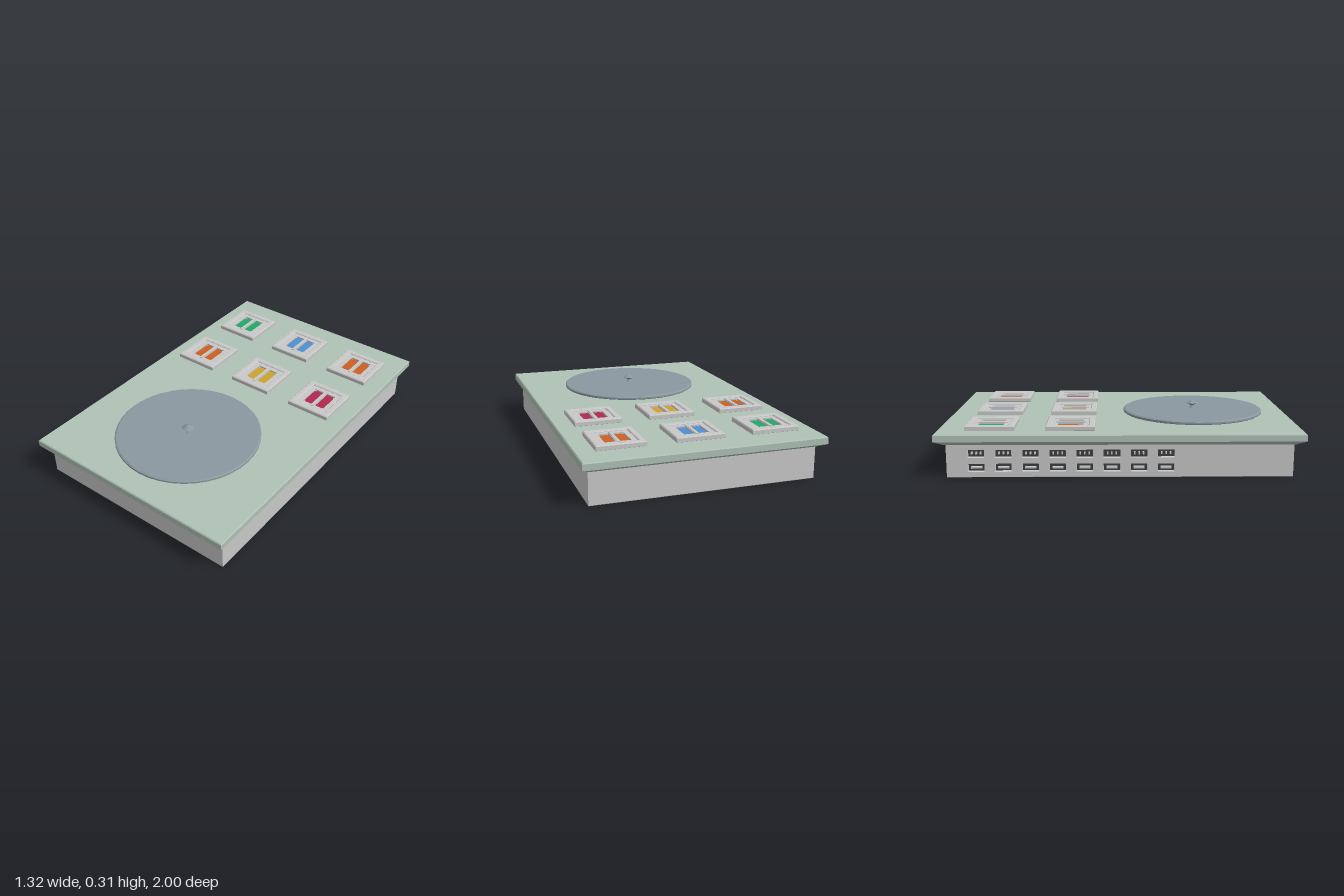
import * as THREE from 'three';
import { toCreasedNormals } from 'three/addons/utils/BufferGeometryUtils.js';

const paint = (name, color) => {
  const m = new THREE.MeshStandardMaterial({ color });
  m.name = name;
  return m;
};

// Rectangular outline or hole, centred on (cx, cy)
function rect(Kind, w, h, cx = 0, cy = 0) {
  const x = w / 2, y = h / 2;
  return new Kind([[-x, -y], [x, -y], [x, y], [-x, y]].map(([a, b]) => new THREE.Vector2(cx + a, cy + b)));
}

// Closed solid through rectangles given as [y, halfX, halfZ], bottom to top
function rectLoft(rings) {
  const pos = [], index = [];
  for (const [y, x, z] of rings) pos.push(-x, y, z, x, y, z, x, y, -z, -x, y, -z);
  for (let r = 0; r < rings.length - 1; r++) {
    for (let i = 0; i < 4; i++) {
      const a = r * 4 + i, b = r * 4 + (i + 1) % 4;
      index.push(a, b, b + 4, a, b + 4, a + 4);
    }
  }
  const t = (rings.length - 1) * 4;
  index.push(t, t + 1, t + 2, t, t + 2, t + 3, 0, 2, 1, 0, 3, 2);
  const indexed = new THREE.BufferGeometry();
  indexed.setAttribute('position', new THREE.Float32BufferAttribute(pos, 3));
  indexed.setIndex(index);
  const g = indexed.toNonIndexed();
  g.computeVertexNormals();
  return g;
}

export function createModel() {
  const grey = paint('lightGrey', 0xc9c8c8);
  const sage = paint('sageGreen', 0xafc1b6);
  const slate = paint('slate', 0x8b98a0);
  const dark = paint('darkGrey', 0x3c3e40);
  const green = paint('green', 0x22a86c);
  const blue = paint('blue', 0x4f8fce);
  const orange = paint('orange', 0xcc5f24);
  const yellow = paint('yellow', 0xcca230);
  const crimson = paint('crimson', 0xaf2850);

  const model = new THREE.Group();
  model.name = 'controlBox';
  const add = (parent, name, geometry, material, x = 0, y = 0, z = 0) => {
    const m = new THREE.Mesh(geometry, material);
    m.name = name;
    m.position.set(x, y, z);
    parent.add(m);
    return m;
  };

  // Body, with a dark wall behind the socket panel
  const wall = 0.03;
  add(model, 'body', new THREE.BoxGeometry(1.24 - wall, 0.18, 1.88),
    [grey, dark, grey, grey, grey, grey], wall / 2, 0.092, 0);
  add(model, 'bottomPlate', new THREE.BoxGeometry(1.24, 0.002, 1.88), slate, 0, 0.001, 0);

  // Side panel with two rows of sockets
  const panel = rect(THREE.Shape, 1.88, 0.18, 0, 0.092);
  const sockets = new THREE.Group();
  sockets.name = 'sockets';
  for (let i = 0; i < 8; i++) {
    const z = -0.78 + i * 0.147;
    panel.holes.push(rect(THREE.Path, 0.09, 0.045, z, 0.053), rect(THREE.Path, 0.09, 0.045, z, 0.13));
    add(sockets, 'lowerSocketTongue', new THREE.BoxGeometry(0.02, 0.01, 0.06), grey, -0.6, 0.05, z);
    for (const s of [-1, 0, 1]) {
      add(sockets, 'upperSocketPin', new THREE.BoxGeometry(0.02, 0.012, 0.008), grey, -0.6, 0.13, z + s * 0.024);
    }
  }
  model.add(sockets);
  const panelGeo = new THREE.ExtrudeGeometry(panel, { depth: wall, bevelEnabled: false }).rotateY(-Math.PI / 2);
  add(model, 'socketPanel', panelGeo, grey, -0.62 + wall, 0, 0);

  // Overhanging lid with a sloped underside
  add(model, 'lid', rectLoft([
    [0.18, 0.62, 0.95], [0.205, 0.66, 1], [0.239, 0.66, 1], [0.245, 0.655, 0.995],
  ]), sage);

  // Turntable disc and its spindle knob
  const lathe = (points, n) => toCreasedNormals(
    new THREE.LatheGeometry(points.map(p => new THREE.Vector2(...p)), n), 0.5);
  add(model, 'disc', lathe([[0, 0], [0.413, 0], [0.42, 0.005], [0.42, 0.015], [0.412, 0.021], [0, 0.021]], 40),
    slate, -0.012, 0.244, 0.445);
  add(model, 'knob', lathe([[0.014, 0], [0.006, 0.014], [0.035, 0.029], [0.006, 0.046], [0, 0.046]], 16),
    slate, -0.012, 0.265, 0.445);

  // Key pads: outer frame, inset with two windows, coloured panes
  const upright = (shape, options) => new THREE.ExtrudeGeometry(shape, options).rotateX(-Math.PI / 2);
  const frameShape = rect(THREE.Shape, 0.26, 0.26);
  frameShape.holes.push(rect(THREE.Path, 0.21, 0.21));
  const frameGeo = upright(frameShape, { depth: 0.021, bevelSize: 0.005, bevelThickness: 0.005, bevelSegments: 1 });
  const insetShape = rect(THREE.Shape, 0.2, 0.2);
  for (const s of [-1, 1]) insetShape.holes.push(rect(THREE.Path, 0.058, 0.142, s * 0.041, 0));
  const insetGeo = upright(insetShape, { depth: 0.02, bevelEnabled: false });
  const paneGeo = new THREE.BoxGeometry(0.142, 0.008, 0.142);
  const barGeo = new THREE.BoxGeometry(0.018, 0.006, 0.17);
  const screwGeo = new THREE.BoxGeometry(0.008, 0.004, 0.008);
  const pads = [[green, blue, orange], [orange, yellow, crimson]];
  pads.forEach((row, r) => row.forEach((colour, c) => {
    const pad = new THREE.Group();
    pad.name = 'keyPad';
    pad.position.set(-0.434 + c * 0.4275, 0.245, r ? -0.273 : -0.712);
    add(pad, 'padFrame', frameGeo, grey, 0, 0.001, 0);
    add(pad, 'padInset', insetGeo, grey);
    add(pad, 'padPane', paneGeo, colour, 0, 0.008, 0);
    add(pad, 'padBar', barGeo, grey, 0, 0.021, 0);
    for (const x of [-0.064, 0.064]) {
      for (const z of [-0.064, 0.064]) add(pad, 'padScrew', screwGeo, grey, x, 0.013, z);
    }
    model.add(pad);
  }));

  return model;
}
